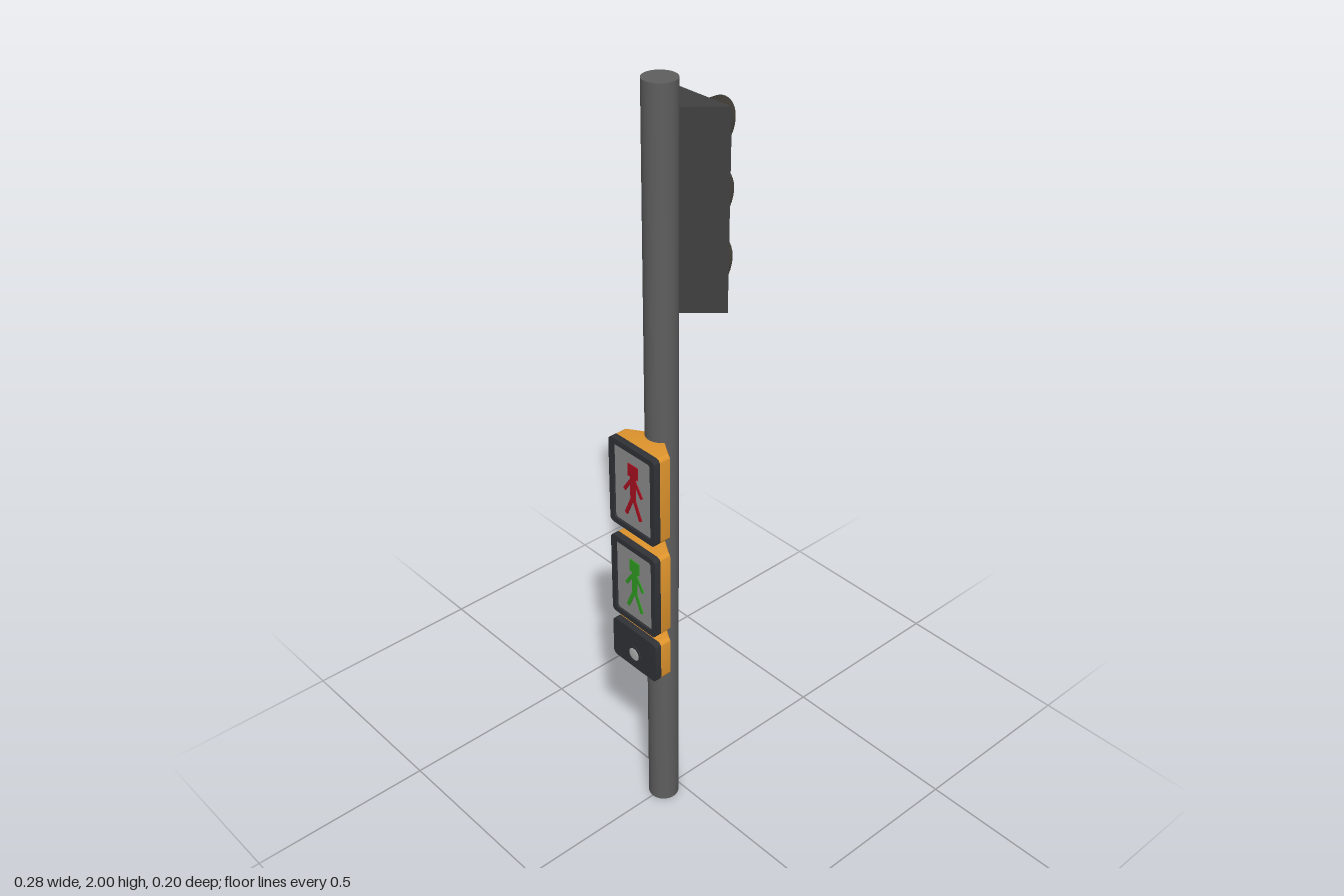
import * as THREE from 'three';
import { toCreasedNormals } from 'three/addons/utils/BufferGeometryUtils.js';

const mat = (color, side = THREE.FrontSide) => new THREE.MeshStandardMaterial({ color, side });
const poleMat = mat(0x5e5e5e);
const housingMat = mat(0x404040);
const seamMat = mat(0x1c1c1c);
const hoodMat = mat(0x3a3731, THREE.DoubleSide);
const orangeMat = mat(0xe0952d);
const rimMat = mat(0x303236);
const screenMat = mat(0x8c8c8c);
const buttonMat = mat(0xb0b0b0);

function add(parent, name, geometry, material, x = 0, y = 0, z = 0) {
  const mesh = new THREE.Mesh(geometry, material);
  mesh.name = name;
  mesh.position.set(x, y, z);
  parent.add(mesh);
  return mesh;
}

// Rectangle with rounded corners, centred on the origin
function roundedRect(w, h, r, Type = THREE.Shape) {
  const s = new Type(), x = w / 2, y = h / 2;
  s.absarc(x - r, y - r, r, 0, Math.PI / 2);
  s.absarc(-x + r, y - r, r, Math.PI / 2, Math.PI);
  s.absarc(-x + r, -y + r, r, Math.PI, Math.PI * 1.5);
  s.absarc(x - r, -y + r, r, Math.PI * 1.5, Math.PI * 2);
  s.closePath();
  return s;
}

function extrude(shape, depth, steps = 1) {
  return new THREE.ExtrudeGeometry(shape, { depth, steps, bevelEnabled: false, curveSegments: 5 });
}

// Orange case: straight in front, narrowing sideways towards the pole
function caseGeometry(h) {
  const g = extrude(roundedRect(0.16, h, 0.012), 2, 2);
  const p = g.attributes.position;
  const depths = [0.062, 0.091, 0.122], widths = [0.38, 1, 1];
  for (let i = 0; i < p.count; i++) {
    const layer = Math.round(p.getZ(i));
    p.setX(i, p.getX(i) * widths[layer]);
    p.setZ(i, depths[layer]);
  }
  return toCreasedNormals(g, 0.45);
}

// Walking figure made of thin bars: [x, y, width, height, tilt]
function walkingFigure(color) {
  const figure = new THREE.Group();
  figure.name = 'walkingFigure';
  const m = mat(color);
  const bars = [
    [0, 0.054, 0.034, 0.034, 0],
    [0, 0.008, 0.018, 0.062, 0],
    [-0.017, 0.012, 0.009, 0.048, -0.6],
    [0.017, 0.012, 0.009, 0.048, 0.6],
    [-0.013, -0.046, 0.010, 0.062, -0.42],
    [0.013, -0.046, 0.010, 0.062, 0.42],
  ];
  for (const [x, y, w, h, tilt] of bars) {
    add(figure, 'figureBar', new THREE.BoxGeometry(w, h, 0.003), m, x, y, 0).rotation.z = tilt;
  }
  return figure;
}

// Traffic light: wedge housing with three hooded lamps facing +x
function trafficLight() {
  const group = new THREE.Group();
  group.name = 'trafficLight';
  const wedge = new THREE.Shape([[-0.02, -0.026], [0.063, -0.1], [0.063, 0.1], [-0.02, 0.026]]
    .map(([x, y]) => new THREE.Vector2(x, y)));
  add(group, 'housing', extrude(wedge, 0.475).rotateX(-Math.PI / 2), housingMat, 0, 1.462, 0);

  // Hood: tube cut by a sloping plane, long above and short below
  const r = 0.06;
  const hood = new THREE.CylinderGeometry(r, r, 1, 40, 1, true).rotateZ(-Math.PI / 2);
  const p = hood.attributes.position;
  for (let i = 0; i < p.count; i++) {
    p.setX(i, p.getX(i) > 0 ? 0.001 + ((p.getY(i) + r) / (2 * r)) * 0.076 : 0);
  }

  [['redLamp', 0xd01a14], ['yellowLamp', 0xccc340], ['greenLamp', 0x3fd026]].forEach(([name, color], i) => {
    const y = 1.853 - i * 0.162;
    const lens = new THREE.CylinderGeometry(0.049, 0.049, 0.004, 40).rotateZ(-Math.PI / 2);
    add(group, name, lens, mat(color), 0.064, y, 0);
    add(group, 'hood', hood, hoodMat, 0.063, y, 0);
  });
  // Dark seams between the three sections
  for (const y of [1.78, 1.62]) {
    add(group, 'seam', new THREE.BoxGeometry(0.002, 0.007, 0.198), seamMat, 0.0632, y, 0);
  }
  return group;
}

// Pedestrian unit, modelled facing +z and turned to face -x later
function pedestrianUnit(name, bottom, top, figureColor) {
  const unit = new THREE.Group();
  unit.name = name;
  const h = top - bottom;
  unit.position.y = (top + bottom) / 2;
  add(unit, 'case', caseGeometry(h), orangeMat);

  const rim = roundedRect(0.16, h, 0.012);
  if (figureColor !== undefined) {
    rim.holes.push(roundedRect(0.13, h - 0.03, 0.008, THREE.Path));
    add(unit, 'screen', new THREE.BoxGeometry(0.134, h - 0.026, 0.012), screenMat, 0, 0, 0.128);
    const figure = walkingFigure(figureColor);
    figure.position.z = 0.135;
    unit.add(figure);
  } else {
    // Push button: collar with a shallow dome
    add(unit, 'buttonCollar', new THREE.CylinderGeometry(0.025, 0.025, 0.003, 32).rotateX(Math.PI / 2),
      rimMat, 0, -0.015, 0.1405);
    const dome = new THREE.SphereGeometry(0.018, 24, 8, 0, Math.PI * 2, 0, Math.PI / 2)
      .rotateX(Math.PI / 2).scale(1, 1, 0.1);
    add(unit, 'button', dome, buttonMat, 0, -0.015, 0.142);
  }
  add(unit, 'rim', toCreasedNormals(extrude(rim, 0.018), 0.45), rimMat, 0, 0, 0.122);
  return unit;
}

export function createModel() {
  const model = new THREE.Group();
  model.name = 'trafficSignal';
  add(model, 'pole', new THREE.CylinderGeometry(0.04, 0.04, 2, 40), poleMat, -0.045, 1, 0);
  model.add(trafficLight());

  const pedestrian = new THREE.Group();
  pedestrian.name = 'pedestrianSignals';
  pedestrian.rotation.y = -Math.PI / 2;
  pedestrian.add(
    pedestrianUnit('stopSignal', 0.905, 1.145, 0xa81020),
    pedestrianUnit('walkSignal', 0.63, 0.865, 0x2f9a20),
    pedestrianUnit('buttonBox', 0.488, 0.605),
  );
  model.add(pedestrian);
  return model;
}
